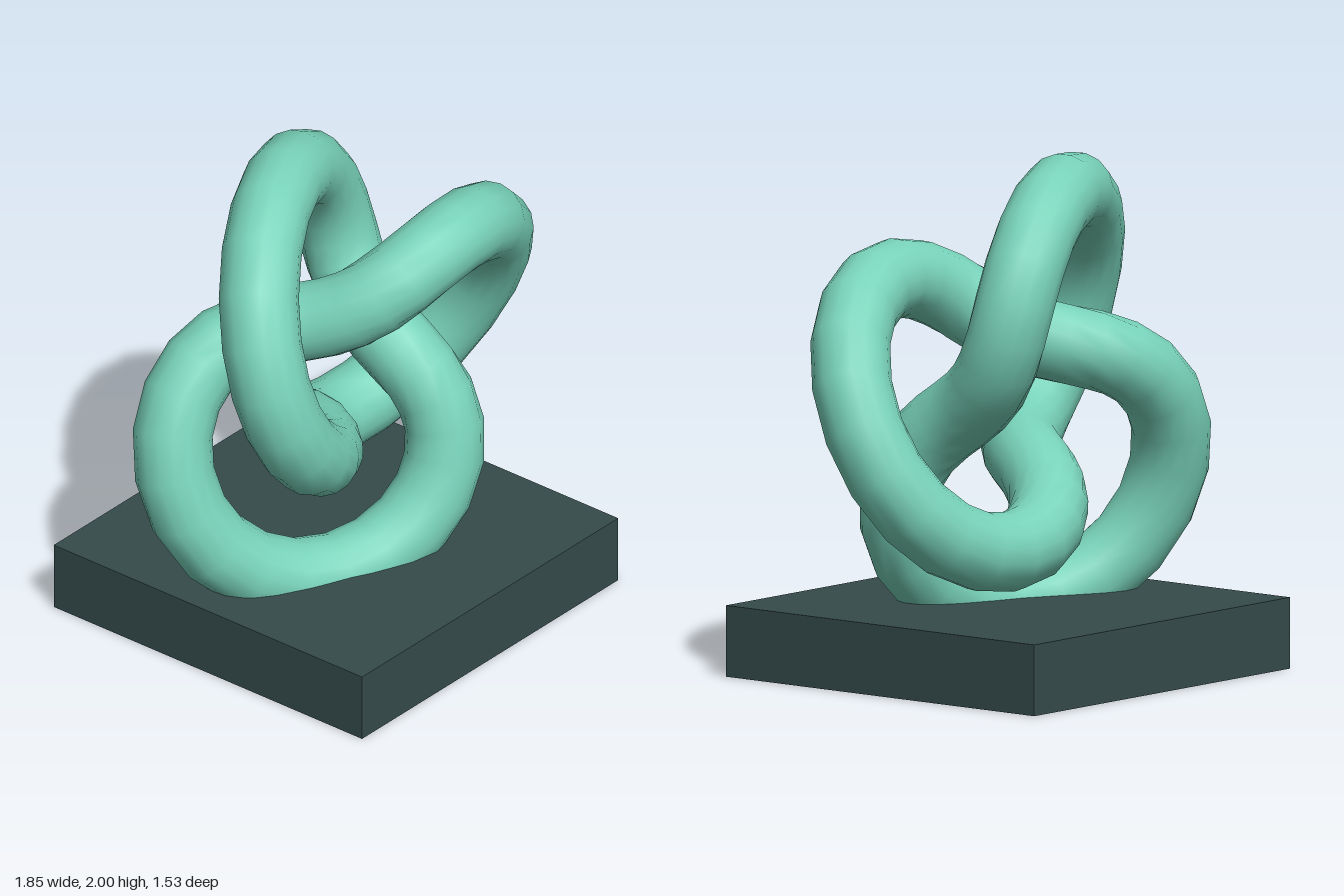
import * as THREE from 'three';

export function createModel() {
  const model = new THREE.Group();
  model.name = 'knotSculpture';

  const mint = new THREE.MeshStandardMaterial({ color: 0x78d2b9 });
  mint.name = 'mint';
  const slate = new THREE.MeshStandardMaterial({ color: 0x354b4b });
  slate.name = 'darkSlate';

  const unit = 0.766; // common scale of all parts
  const offsetX = -0.098; // shared axis of plinth and knot

  // Square plinth
  const height = 0.36 * unit;
  const plinth = new THREE.Mesh(new THREE.BoxGeometry(2 * unit, height, 2 * unit), slate);
  plinth.name = 'plinth';
  plinth.position.set(offsetX, height / 2, 0);

  // Trefoil knot, its lowest loop sunk into the plinth
  const knot = new THREE.Mesh(
    new THREE.TorusKnotGeometry(0.75 * unit, 0.2 * unit, 64, 16, 2, 3), mint);
  knot.name = 'trefoilKnot';
  knot.position.set(offsetX, 1.037, 0);

  model.add(plinth, knot);
  return model;
}
